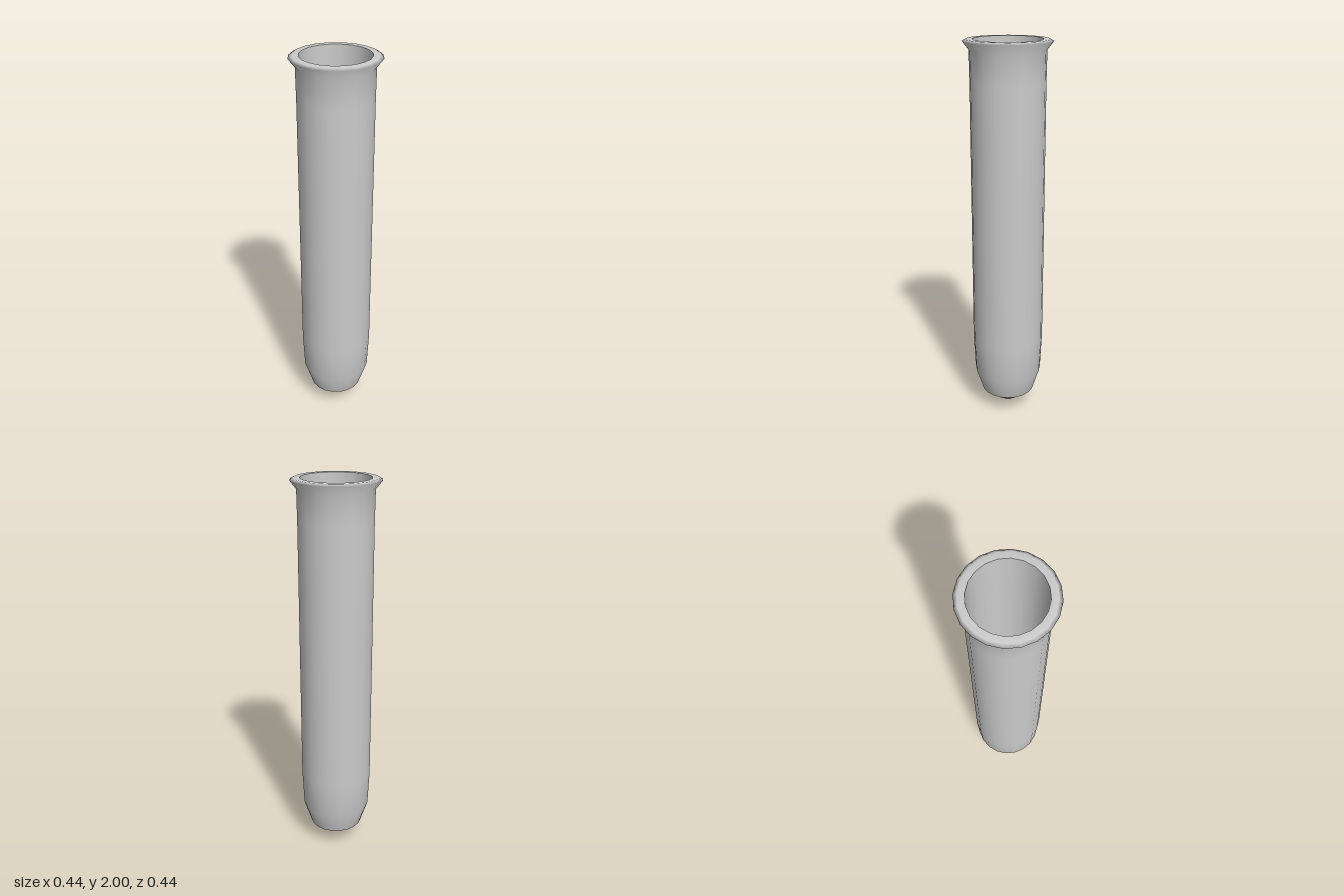
import * as THREE from 'three';

const SIDES = 20;

// Revolves a [radius, height] profile; the surface faces right of its travel direction.
function turned(name, profile, material) {
  const points = profile.map(([r, y]) => new THREE.Vector2(r, y));
  const mesh = new THREE.Mesh(new THREE.LatheGeometry(points, SIDES), material);
  mesh.name = name;
  return mesh;
}

export function createModel() {
  const group = new THREE.Group();
  group.name = 'testTube';
  const material = new THREE.MeshStandardMaterial({ color: 0xcccccc });

  // Pointed base, separate so its edge stays sharp
  group.add(turned('tip', [[0, 0], [0.14, 0.1]], material));

  // Outer wall up to the flared lip
  group.add(turned('outerWall', [
    [0.14, 0.1], [0.179, 0.22], [0.188, 0.42], [0.188, 1.8], [0.19, 1.95], [0.222, 1.99],
    [0.205, 2], [0.173, 2],
  ], material));

  // Inner wall, from the mouth down
  group.add(turned('innerWall', [
    [0.173, 2], [0.172, 1.8], [0.172, 0.42], [0.164, 0.23], [0.13, 0.12],
  ], material));

  // Hollow of the tip
  group.add(turned('innerFloor', [[0.13, 0.12], [0, 0.025]], material));

  return group;
}
